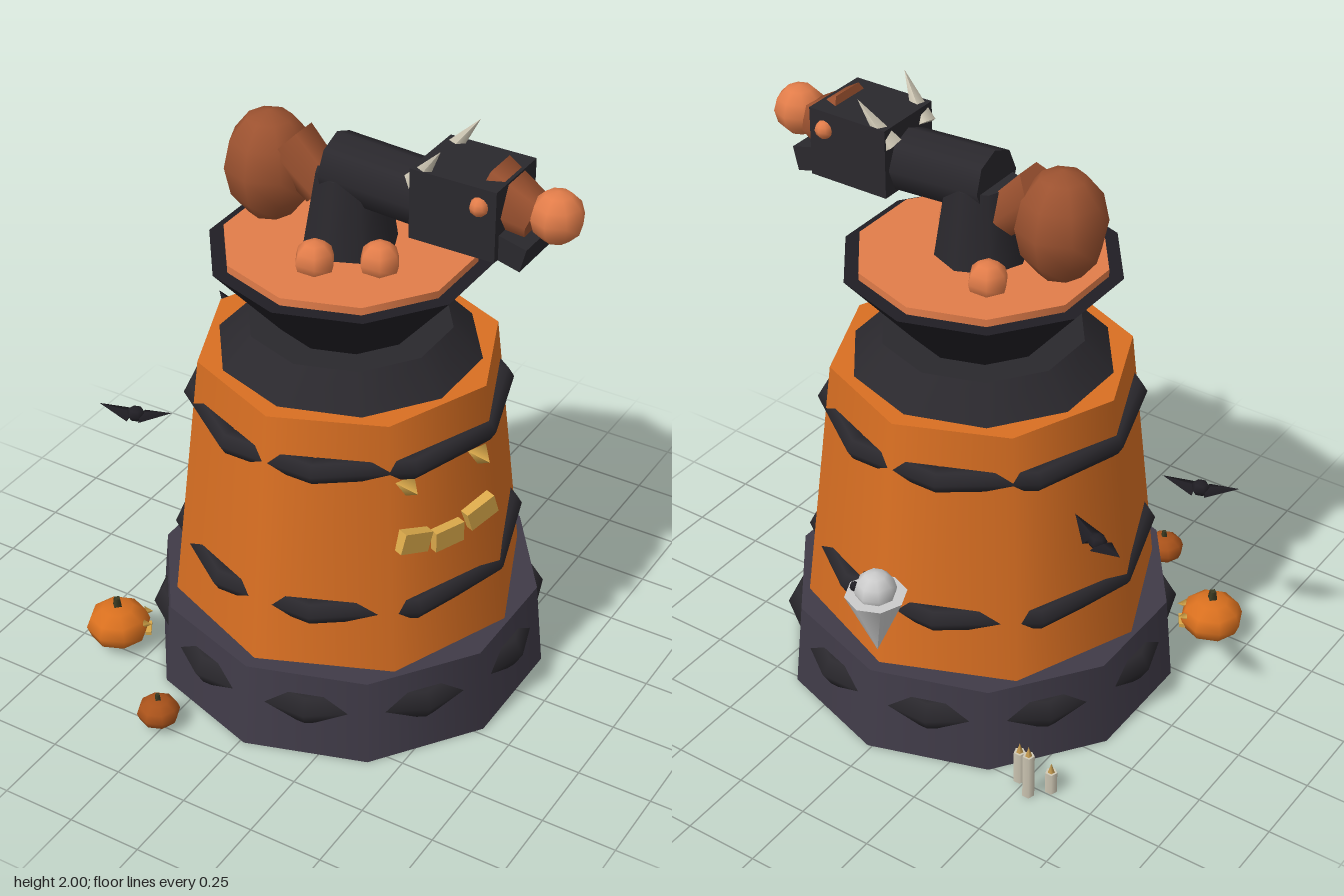
import * as THREE from 'three';

const mat = (color) => new THREE.MeshStandardMaterial({ color });
const M = {
  base: mat(0x403b48), dark: mat(0x2a282d), black: mat(0x201e24), orange: mat(0xd96f22),
  peach: mat(0xe27d4a), rust: mat(0x9c5230), gold: mat(0xd9a84a), bone: mat(0xd0c9b6),
  ghost: mat(0xd8dcda), pumpkin: mat(0xd9701f), oldPumpkin: mat(0xa9521a), stem: mat(0x3a3a22),
  flame: mat(0xc49a50),
};
const CX = 0.015, CZ = 0.02;

export function createModel() {
  const root = new THREE.Group();

  function add(name, geo, material, x, y, z, parent = root) {
    const mesh = new THREE.Mesh(geo, material);
    mesh.name = name;
    mesh.position.set(x, y, z);
    parent.add(mesh);
    return mesh;
  }
  // upright truncated cone between two heights on the tower axis
  const tier = (name, material, y0, y1, r0, r1, sides) =>
    add(name, new THREE.CylinderGeometry(r1, r0, y1 - y0, sides), material, CX, (y0 + y1) / 2, CZ);
  // truncated cone between two points
  function limb(name, material, a, b, r0, r1, sides, parent = root) {
    const p = new THREE.Vector3(...a), q = new THREE.Vector3(...b);
    const dir = q.clone().sub(p), mid = p.clone().add(q).multiplyScalar(0.5);
    const mesh = add(name, new THREE.CylinderGeometry(r1, r0, dir.length(), sides), material, mid.x, mid.y, mid.z, parent);
    mesh.quaternion.setFromUnitVectors(new THREE.Vector3(0, 1, 0), dir.normalize());
    return mesh;
  }
  const ball = (name, material, r, x, y, z, parent = root, w = 8, h = 6) =>
    add(name, new THREE.SphereGeometry(r, w, h), material, x, y, z, parent);

  // Tower
  tier('base', M.base, 0, 0.3, 0.66, 0.633, 10);
  tier('towerBody', M.orange, 0.3, 1.17, 0.585, 0.487, 8);
  tier('collar', M.dark, 1.17, 1.27, 0.425, 0.33, 10);
  tier('flaredTop', M.black, 1.27, 1.515, 0.23, 0.447, 10);
  tier('platform', M.peach, 1.515, 1.54, 0.4, 0.4, 10);

  // Bands that surface between the tower corners
  for (const [name, y, r, tube, material] of [
    ['baseBand', 0.175, 0.597, 0.06, M.dark],
    ['lowerBand', 0.505, 0.53, 0.042, M.dark],
    ['upperBand', 1.01, 0.487, 0.04, M.dark],
  ]) {
    add(name, new THREE.TorusGeometry(r, tube, 6, 10), material, CX, y, CZ).rotation.x = Math.PI / 2;
  }

  // Carved face on one side of the tower
  const face = new THREE.Group();
  face.name = 'face';
  face.position.set(CX, 0, CZ);
  face.rotation.y = THREE.MathUtils.degToRad(67.5);
  root.add(face);
  for (const s of [-1, 1]) {
    add('eye', new THREE.ConeGeometry(0.045, 0.07, 3), M.gold, s * 0.14, 0.95, 0.5, face).rotation.x = Math.PI / 2;
    add('sideTooth', new THREE.BoxGeometry(0.11, 0.07, 0.05), M.gold, s * 0.13, 0.755, 0.5, face).rotation.z = s * 0.3;
  }
  add('middleTooth', new THREE.BoxGeometry(0.11, 0.07, 0.05), M.gold, 0, 0.72, 0.5, face);

  // Creature on the platform
  for (const [x, z] of [[0.01, 0.215], [0.18, 0.12], [-0.12, -0.15]]) {
    ball('foot', M.peach, 0.066, x, 1.565, z, root, 6, 6);
  }
  limb('torso', M.dark, [0.018, 1.54, CZ], [0.02, 1.79, CZ], 0.15, 0.11, 8);
  limb('neck', M.dark, [-0.035, 1.795, CZ], [0.32, 1.775, CZ], 0.105, 0.105, 8);
  limb('tail', M.rust, [-0.07, 1.7, CZ], [-0.2, 1.82, CZ], 0.075, 0.09, 6);
  ball('tailTip', M.rust, 0.145, -0.27, 1.725, CZ).scale.y = 1.27;

  // Head
  add('head', new THREE.BoxGeometry(0.285, 0.23, 0.245), M.dark, 0.4325, 1.805, CZ);
  add('jaw', new THREE.BoxGeometry(0.27, 0.08, 0.2), M.dark, 0.525, 1.742, CZ).rotation.z = -0.25;
  limb('snout', M.rust, [0.49, 1.85, CZ], [0.645, 1.8, CZ], 0.115, 0.075, 6);
  ball('nose', M.peach, 0.083, 0.71, 1.825, CZ);
  for (const s of [-1, 1]) {
    ball('creatureEye', M.peach, 0.03, 0.52, 1.86, CZ + s * 0.122);
    limb('horn', M.bone, [0.29, 1.86, CZ + s * 0.085], [0.39, 2, CZ + s * 0.12], 0.038, 0, 5);
  }

  // Pumpkins
  function pumpkin(name, material, r, x, z) {
    const g = new THREE.Group();
    g.name = name;
    g.position.set(x, r * 0.78, z);
    ball('pumpkinBody', material, r, 0, 0, 0, g).scale.y = 0.72;
    add('pumpkinStem', new THREE.CylinderGeometry(r * 0.12, r * 0.18, r * 0.35, 4), M.stem, 0, r * 0.8, 0, g);
    root.add(g);
    return g;
  }
  const carved = pumpkin('largePumpkin', M.pumpkin, 0.108, -0.62, 0.475);
  pumpkin('smallPumpkin', M.oldPumpkin, 0.071, -0.27, 0.745);
  const grin = new THREE.Group();
  grin.name = 'pumpkinFace';
  grin.rotation.y = THREE.MathUtils.degToRad(122);
  carved.add(grin);
  for (const s of [-1, 1]) {
    add('pumpkinEye', new THREE.ConeGeometry(0.018, 0.03, 3), M.gold, s * 0.035, 0.02, 0.1, grin).rotation.x = Math.PI / 2;
  }
  add('pumpkinMouth', new THREE.BoxGeometry(0.06, 0.014, 0.02), M.gold, 0, -0.025, 0.1, grin);

  // Bats beside the tower
  for (const [x, y, z, turn] of [[-0.625, 0.9, -0.305, -0.44], [-0.67, 0.785, 0.245, 0.3]]) {
    const bat = new THREE.Group();
    bat.name = 'bat';
    bat.position.set(x, y, z);
    bat.rotation.y = turn;
    root.add(bat);
    ball('batBody', M.black, 0.03, 0, 0, 0, bat, 6, 4).scale.set(1.1, 0.85, 1);
    for (const s of [-1, 1]) {
      const wing = limb('batWing', M.black, [s * 0.02, -0.008, 0], [s * 0.125, 0.022, 0], 0.04, 0, 4, bat);
      wing.scale.set(0.35, 1, 1);
    }
  }

  // Ghost behind the tower, looking along +x
  const ghost = new THREE.Group();
  ghost.name = 'ghost';
  ghost.position.set(-0.1, 0, -0.72);
  root.add(ghost);
  add('ghostTail', new THREE.ConeGeometry(0.097, 0.22, 8), M.ghost, 0, 0.625, 0, ghost).rotation.x = Math.PI;
  ball('ghostHead', M.ghost, 0.066, 0, 0.75, 0, ghost);
  for (const s of [-1, 1]) ball('ghostEye', M.black, 0.016, 0.057, 0.757, s * 0.03, ghost, 6, 4);

  // Candles on the ground
  for (const [x, z, h] of [[-0.59, -0.48, 0.08], [-0.54, -0.535, 0.165], [-0.48, -0.495, 0.12]]) {
    add('candle', new THREE.CylinderGeometry(0.02, 0.02, h, 5), M.bone, x, h / 2, z);
    add('flame', new THREE.ConeGeometry(0.012, 0.035, 5), M.flame, x, h + 0.0175, z);
  }
  return root;
}
